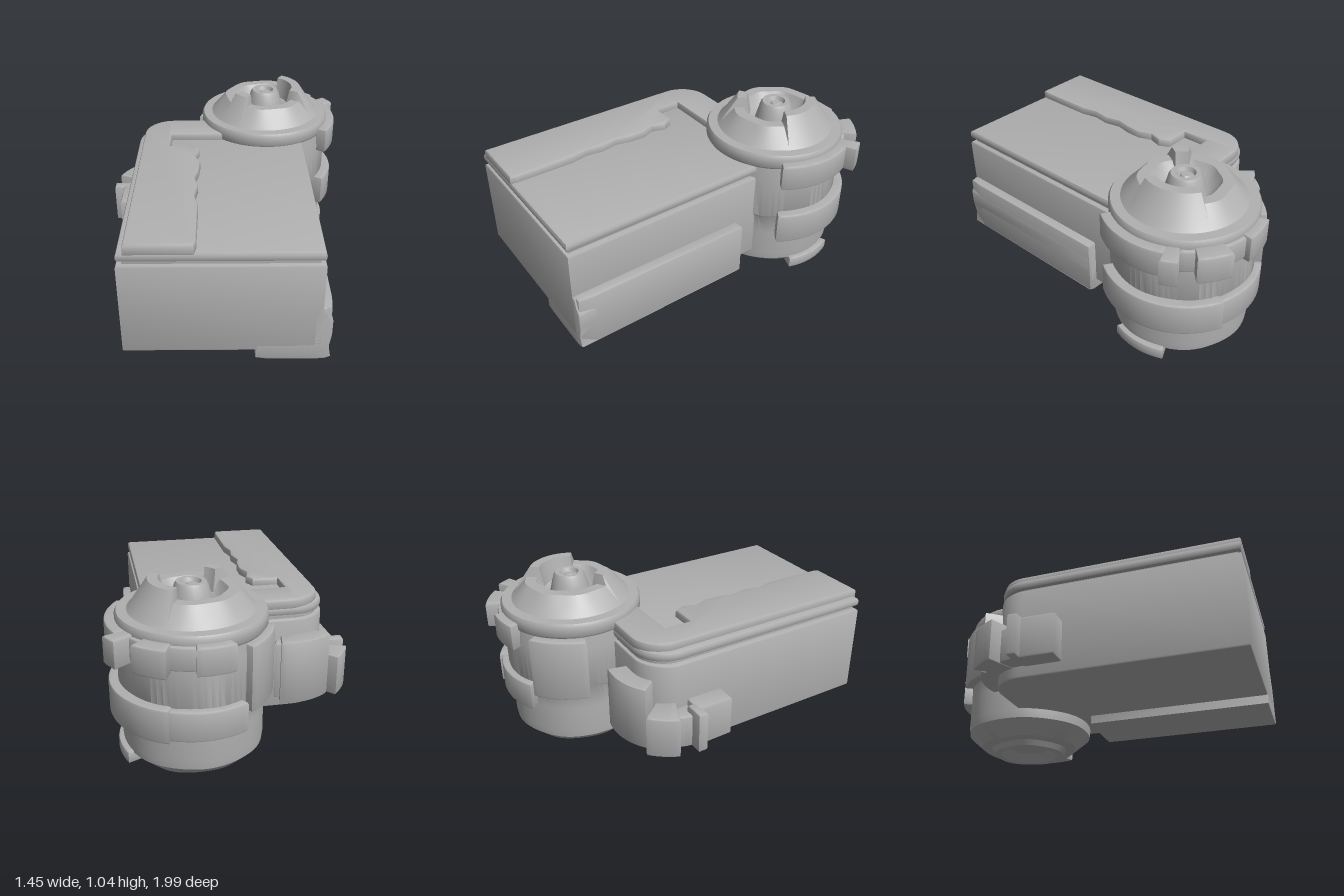
import * as THREE from 'three';
import { toCreasedNormals } from 'three/addons/utils/BufferGeometryUtils.js';

const stone = new THREE.MeshStandardMaterial({ color: 0xb0b0b0 });
stone.name = 'grey stone';
const TX = 0.25, TZ = -0.535; // tower axis
const rad = THREE.MathUtils.degToRad;

function add(parent, name, geometry) {
  const mesh = new THREE.Mesh(toCreasedNormals(geometry, 0.6), stone);
  mesh.name = name;
  parent.add(mesh);
  return mesh;
}

// Vertical slab from a footprint of [x, z] points
function slab(points, y0, y1, bevel = 0.012) {
  const shape = new THREE.Shape(points.map(([x, z]) => new THREE.Vector2(x, -z)));
  const geo = new THREE.ExtrudeGeometry(shape, {
    depth: y1 - y0 - 2 * bevel, bevelEnabled: true, bevelSize: bevel,
    bevelThickness: bevel, bevelOffset: -bevel, bevelSegments: 2,
  });
  return geo.rotateX(-Math.PI / 2).translate(0, y0 + bevel, 0);
}

// Curved block around a vertical axis; angles in degrees from +x towards +z
function arcBlock(cx, cz, r0, r1, a0, a1, y0, y1, bevel = 0.01) {
  const pts = [], n = Math.max(3, Math.ceil((a1 - a0) / 5));
  const at = (r, t) => [cx + r * Math.cos(rad(t)), cz + r * Math.sin(rad(t))];
  for (let i = 0; i <= n; i++) pts.push(at(r1, a0 + ((a1 - a0) * i) / n));
  for (let i = n; i >= 0; i--) pts.push(at(r0, a0 + ((a1 - a0) * i) / n));
  return slab(pts, y0, y1, bevel);
}

// Footprint of the box with its rounded rear corner
function footprint(x0, x1, z0, z1, r) {
  const pts = [[x1, z1], [x0, z1]];
  for (let a = 0; a <= 90; a += 10)
    pts.push([x0 + r - r * Math.cos(rad(a)), z0 + r - r * Math.sin(rad(a))]);
  pts.push([x1, z0]);
  return pts;
}

function lathe(profile, segments = 72) {
  return new THREE.LatheGeometry(profile.map(([r, y]) => new THREE.Vector2(r, y)), segments);
}

// Move lathe vertices by a rule of (angle in degrees, radius, height)
function reshape(geo, rule) {
  const p = geo.attributes.position;
  for (let i = 0; i < p.count; i++) {
    const x = p.getX(i), z = p.getZ(i), r = Math.hypot(x, z);
    const a = r < 1e-6 ? 0 : (THREE.MathUtils.radToDeg(Math.atan2(z, x)) + 360.001) % 360;
    const [k, y] = rule(a, r, p.getY(i));
    p.setXYZ(i, x * k, y, z * k);
  }
  return geo;
}

function buildBox() {
  const box = new THREE.Group();
  box.name = 'box';
  add(box, 'boxBody', slab(footprint(-0.55, 0.48, -0.45, 1, 0.2), 0.18, 0.725, 0.012));
  add(box, 'lidGroove', slab(footprint(-0.52, 0.45, -0.43, 0.98, 0.18), 0.7, 0.77, 0.002));
  add(box, 'lid', slab(footprint(-0.545, 0.475, -0.45, 1, 0.2), 0.745, 0.8, 0.018));

  // Raised half of the lid with a worn inner edge and a notch
  const raised = footprint(-0.51, 0.1, -0.45, 1, 0.18);
  raised.push([0.1, -0.24], [-0.34, -0.24], [-0.34, -0.08], [-0.19, -0.08], [-0.16, -0.02],
    [-0.185, 0.06], [-0.155, 0.14], [-0.16, 0.24], [-0.18, 0.32], [-0.16, 0.42], [-0.175, 0.52],
    [-0.155, 0.62], [-0.155, 0.96]);
  raised[0] = [-0.165, 1];
  add(box, 'raisedLid', slab(raised, 0.78, 0.845, 0.015));

  // Plate wrapping the lower left edge
  const edge = [[0.14, 0.13], [0.2, 0.12], [0.42, 0.118], [0.5, 0.12], [0.535, 0.135], [0.523, 0.2],
    [0.535, 0.28], [0.535, 0.37], [0.51, 0.41], [0.5, 0.455], [0.44, 0.46], [0.44, 0.22], [0.14, 0.22]];
  const wrap = new THREE.ExtrudeGeometry(
    new THREE.Shape(edge.map(([x, y]) => new THREE.Vector2(x, y))),
    { depth: 1.064, bevelSize: 0.008, bevelThickness: 0.008, bevelOffset: -0.008, bevelSegments: 2 });
  add(box, 'edgePlate', wrap.translate(0, 0, -0.072));
  add(box, 'sidePlate', slab([[0.44, -0.08], [0.535, -0.08], [0.535, 0.9], [0.525, 0.99], [0.44, 0.99]],
    0.13, 0.46, 0.01));

  // Toothed clip around the rounded corner
  const clip = new THREE.Group();
  clip.name = 'cornerClip';
  box.add(clip);
  add(clip, 'clipSide', slab([[-0.5, 0], [-0.66, 0], [-0.665, -0.22], [-0.5, -0.22]], 0.245, 0.49));
  add(clip, 'clipBand', arcBlock(-0.32, -0.2, 0.2, 0.335, 178, 250, 0.25, 0.45));
  add(clip, 'clipTooth', slab([[-0.6, -0.195], [-0.72, -0.195], [-0.72, -0.25], [-0.6, -0.25]], 0.245, 0.49));
  add(clip, 'clipTooth', arcBlock(-0.32, -0.2, 0.22, 0.41, 202, 228, 0.245, 0.49));
  add(clip, 'clipPanel', arcBlock(-0.32, -0.2, 0.2, 0.36, 231, 282, 0.25, 0.63));
  add(clip, 'clipPanelEnd', arcBlock(-0.32, -0.2, 0.2, 0.325, 278, 288, 0.27, 0.61));
  return box;
}

function buildTower() {
  const tower = new THREE.Group();
  tower.name = 'tower';

  // Drum with a tapered, hollow foot and gentle wear
  const drum = lathe([[0, 0.055], [0.12, 0.05], [0.175, 0.004], [0.215, 0.004], [0.235, 0.035], [0.295, 0.042],
    [0.385, 0.125], [0.39, 0.17], [0.388, 0.33], [0.39, 0.46], [0.4, 0.475], [0.4, 0.72], [0.39, 0.81]]);
  reshape(drum, (a, r, y) => {
    const t = rad(a);
    const wear = y > 0.1 ? 0.006 * Math.sin(7 * t + 4 * y) : 0.02 * Math.sin(5 * t);
    const step = y > 0.4 && y < 0.5 ? 0.015 * Math.sin(6 * t) : 0;
    return [1 + wear, y + step];
  });
  add(tower, 'drum', drum);
  add(tower, 'collar', lathe([[0.36, 0.795], [0.395, 0.795], [0.405, 0.81], [0.405, 0.865],
    [0.395, 0.882], [0.32, 0.885]]));

  // Conical crown whose rim rises into two peaks
  const crown = lathe([[0.345, 0.88], [0.325, 0.9], [0.25, 0.985], [0.19, 0.985],
    [0.15, 0.92], [0.11, 0.9], [0, 0.9]], 120);
  reshape(crown, (a, r, y) => {
    const peak = (a >= 122 && a <= 150) || a >= 302 || a <= 28 ? 1 : 0;
    if (y < 0.95) return [1, y];
    return [peak ? 0.91 : 1 + 0.02 * Math.sin(rad(a * 8)), y + 0.058 * peak];
  });
  add(tower, 'crown', crown);
  add(tower, 'knob', lathe([[0.12, 0.89], [0.105, 0.95], [0.09, 1.005], [0.08, 1.022], [0.055, 1.022],
    [0.045, 1.0], [0.03, 1.0], [0.022, 1.01], [0, 1.01]], 24));

  // Clamps: [name, outer radius, from angle, to angle, bottom, top]
  const clamps = [
    ['upperClamp', 0.455, 250, 276, 0.69, 0.845],
    ['upperClamp', 0.425, 274, 326, 0.705, 0.835],
    ['upperClampTooth', 0.495, 293, 315, 0.69, 0.845],
    ['upperClampTooth', 0.52, 325, 336, 0.69, 0.845],
    ['upperClamp', 0.46, 334, 395, 0.69, 0.845],
    ['lowerClamp', 0.44, 239, 296, 0.32, 0.49],
    ['lowerClamp', 0.455, 294, 395, 0.31, 0.5],
    ['sidePanel', 0.44, 193, 236, 0.42, 0.79],
    ['footChip', 0.418, 335, 380, 0.065, 0.135],
  ];
  for (const [name, r, a0, a1, y0, y1] of clamps)
    add(tower, name, arcBlock(0, 0, 0.33, r, a0, a1, y0, y1, 0.012));

  tower.position.set(TX, 0, TZ);
  return tower;
}

export function createModel() {
  const model = new THREE.Group();
  model.name = 'stoneBoxAndTower';
  model.add(buildBox(), buildTower());
  return model;
}
